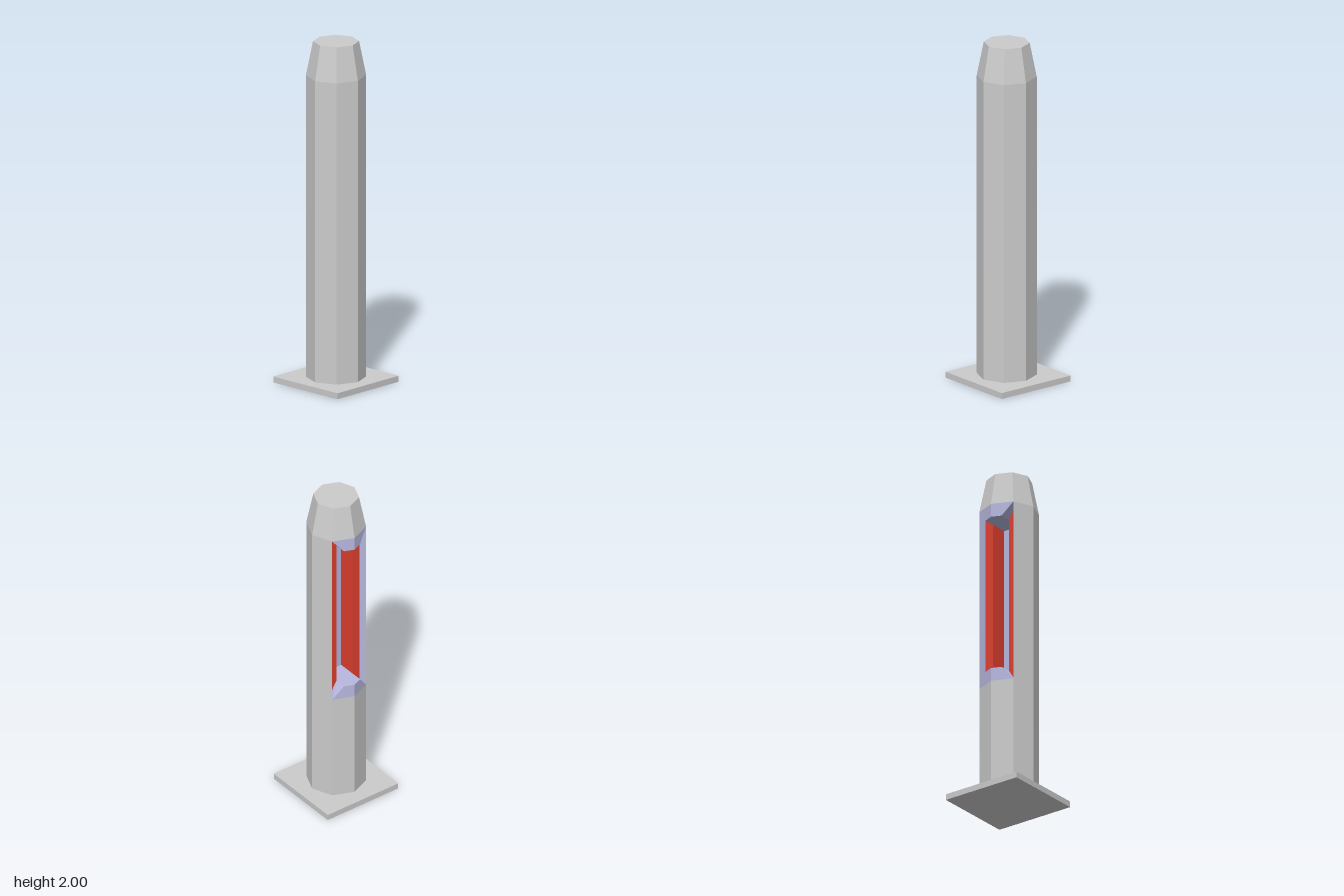
import * as THREE from 'three';

const R = 0.17, BASE_H = 0.035, SLOT_LO = 0.7, SLOT_HI = 1.8, CHAMFER = 0.08;

const material = (color) => new THREE.MeshStandardMaterial({ color, flatShading: true });

// Fan-triangulated convex polygons merged into one flat-shaded mesh
function polygonMesh(name, polygons, mat) {
  const pos = [];
  for (const p of polygons) {
    for (let i = 1; i < p.length - 1; i++) pos.push(...p[0], ...p[i], ...p[i + 1]);
  }
  const geo = new THREE.BufferGeometry();
  geo.setAttribute('position', new THREE.Float32BufferAttribute(pos, 3));
  geo.computeVertexNormals();
  const mesh = new THREE.Mesh(geo, mat);
  mesh.name = name;
  return mesh;
}

export function createModel() {
  const model = new THREE.Group();
  model.name = 'bollard';
  const grey = material(0xcccccc);
  const lilac = material(0xb8b8e0);
  const red = material(0xe04030);

  // Square foot plate
  const plate = new THREE.Mesh(new THREE.BoxGeometry(0.5, BASE_H, 0.5), grey);
  plate.name = 'basePlate';
  plate.position.y = BASE_H / 2;
  model.add(plate);

  // Octagonal post, slightly off the plate's centre
  const post = new THREE.Group();
  post.name = 'post';
  post.position.set(-0.005, 0, 0.005);
  model.add(post);

  const section = (name, rTop, y0, y1, sides, start, open) => {
    const geo = new THREE.CylinderGeometry(rTop, R, y1 - y0, sides, 1, open, start, sides * Math.PI / 4);
    const mesh = new THREE.Mesh(geo, grey);
    mesh.name = name;
    mesh.position.y = (y0 + y1) / 2;
    post.add(mesh);
  };
  section('lowerShaft', R, BASE_H, SLOT_LO, 8, 0, true);
  section('slottedShaft', R, SLOT_LO, SLOT_HI, 6, Math.PI * 1.25, true); // two back sides left open
  section('taperedTop', 0.13, SLOT_HI, 2, 8, 0, false);

  // Plan of the recess in the back, for the +x half
  const d = R * Math.SQRT1_2, m = 0.057;
  const mz = -R + m * (R - d) / d;
  const plan = {
    corner: [d, -d], back: [0, -R], middle: [m, mz],
    sideIn: [0.108, -0.077], step: [m, -0.077], deep: [m, 0.028], centre: [0, 0.028],
  };
  const frame = [], lights = [];
  for (const s of [1, -1]) {
    const at = (key, y) => [s * plan[key][0], y, plan[key][1]];
    const add = (list, flip, pts) => list.push(flip ? pts.reverse() : pts);

    // Rim, chamfer and floor, repeated upside down as the ceiling
    for (const [yo, yi, v] of [[SLOT_LO, SLOT_LO + CHAMFER, 1], [SLOT_HI, SLOT_HI - CHAMFER, -1]]) {
      const flip = s * v < 0;
      add(frame, flip, [at('corner', yo), at('back', yo), at('back', yi), at('middle', yi)]);
      add(frame, flip, [at('corner', yo), at('middle', yi), at('step', yi), at('sideIn', yo)]);
      add(frame, flip, [at('centre', yi), at('deep', yi), at('step', yi), at('middle', yi), at('back', yi)]);
    }

    // Upright walls between two plan points
    const wall = (list, a, ca, b, cb) => add(list, s < 0, [
      at(a, SLOT_LO + ca), at(b, SLOT_LO + cb), at(b, SLOT_HI - cb), at(a, SLOT_HI - ca)]);
    wall(frame, 'corner', 0, 'sideIn', 0);
    wall(lights, 'sideIn', 0, 'step', CHAMFER);
    wall(lights, 'step', CHAMFER, 'deep', CHAMFER);
    wall(frame, 'deep', CHAMFER, 'centre', CHAMFER);
  }
  post.add(polygonMesh('recessFrame', frame, lilac));
  post.add(polygonMesh('redPanels', lights, red));

  return model;
}
